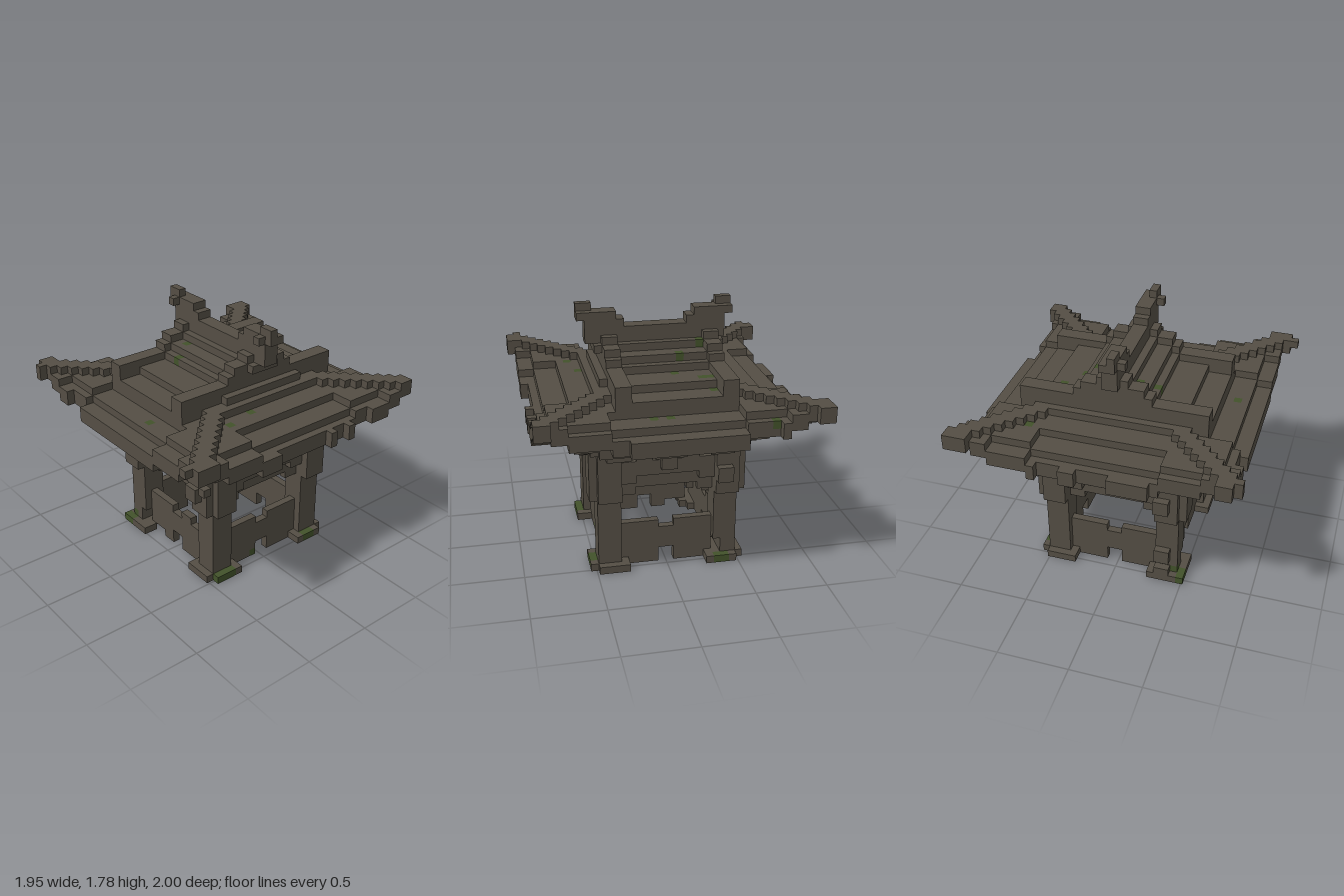
import * as THREE from 'three';

// Block grid: one cell is V wide; the building is symmetric about x = 0, z = 0 of the grid
const V = 2 / 37, Z_SHIFT = -0.5;

export function createModel() {
  const cells = new Map();
  const key = (x, y, z) => `${x},${y},${z}`;
  // Fill a box given by its cell boundaries, in any order; part null clears it
  function fill(part, x0, x1, y0, y1, z0, z1) {
    for (let x = Math.min(x0, x1); x < Math.max(x0, x1); x++)
      for (let y = y0; y < y1; y++)
        for (let z = Math.min(z0, z1); z < Math.max(z0, z1); z++)
          part ? cells.set(key(x, y, z), part) : cells.delete(key(x, y, z));
  }
  // Repeat a box on all four sides, mirrored along each: u runs along the wall, w outwards
  function around(part, u0, u1, y0, y1, w0, w1) {
    for (const s of [-1, 1]) for (const t of [-1, 1]) {
      fill(part, u0 * s, u1 * s, y0, y1, w0 * t, w1 * t);
      fill(part, w0 * t, w1 * t, y0, y1, u0 * s, u1 * s);
    }
  }
  const step = (d, table, rest) => (table.find(([limit]) => d < limit) || [0, rest])[1];
  const inAny = (v, ranges) => ranges.some(([a, b]) => v >= a && v < b);

  // Pillars and feet
  around('pillars', 6, 9, 0, 19, 6, 9);
  around('feet', 5, 9, 0, 1, 9, 10);
  around('feet', 5, 7, 0, 1, 6, 9);
  fill('pillars', -10, -9, 1, 2, 6, 8);
  fill('pillars', -10, -9, 3, 5, 6, 8);
  fill(null, -7, -6, 1, 3, -12, 12);

  // Low walls with a gap under a middle rail
  around('lowWalls', 1, 6, 0, 6, 7, 8);
  around('lowWalls', 0, 1, 2, 5, 7, 8);
  fill(null, -6, -3, 0, 1, 7, 8);
  fill(null, 3, 5, 5, 6, 7, 8);

  // Upper walls
  around('upperWalls', 0, 6, 11, 19, 7, 8);
  around('upperWalls', 4, 6, 10, 11, 7, 8);
  around('upperWalls', 0, 6, 13, 15, 8, 9);

  // Capitals and stepped brackets under the eaves
  around('brackets', 6, 9, 10, 17, 9, 10);
  around('brackets', 4, 6, 12, 13, 8, 9);
  around('brackets', 5, 8, 16, 17, 10, 11);
  around('brackets', 0, 1, 14, 17, 8, 10);
  around('brackets', 0, 2, 16, 18, 8, 11);
  around('brackets', 2, 4, 15, 17, 8, 9);
  around('brackets', 0, 10, 17, 18, 8, 11);
  around('brackets', 5, 9, 17, 18, 11, 12);
  fill('brackets', -11, -10, 12, 14, 6, 8);
  fill('brackets', 6, 8, 12, 14, 10, 11);
  fill('brackets', -8, -6, 12, 14, -11, -10);
  fill('brackets', -12, 12, 18, 19, -12, 12);
  fill('brackets', 14, 15, 18, 19, 14, 15);

  // Skirt roof: stepped slopes, lifted corners, raised hips and a ragged rim
  const gaps = {
    left: [[-7, -4], [-2, 2], [7, 15]], right: [[-10, -7], [-6, -4], [-3, 5]],
    back: [[-12, -8], [6, 15]], front: [[-11, -8]],
  };
  for (let x = -17; x < 17; x++) for (let z = -17; z < 17; z++) {
    if (x === -17 && inAny(z, gaps.left) || x === 16 && inAny(z, gaps.right)) continue;
    if (z === -17 && inAny(x, gaps.back) || z === 16 && inAny(x, gaps.front)) continue;
    const a = Math.abs(x + 0.5), b = Math.abs(z + 0.5);
    const m = Math.max(a, b), t = Math.min(a, b);
    const lift = m > 12 ? step(t, [[8, 0], [13, 1], [15, 2]], 3) : 0;
    const hip = Math.abs(a - b) < 1.5 && m > 8 ? 1 : 0;
    const top = Math.min(24, step(m, [[9, 24], [12, 23], [15, 22]], 21) + lift + hip);
    fill('skirtRoof', x, x + 1, 19 + lift, top, z, z + 1);
  }
  // Corner tips
  fill('cornerTips', -18, -16, 22, 24, -18, -15);
  fill('cornerTips', 15, 17, 22, 24, -17, -15);
  fill('cornerTips', -18, -16, 22, 24, 15, 17);
  fill('cornerTips', -17, -16, 22, 24, 17, 18);
  fill('cornerTips', 16, 18, 22, 24, 15, 18);
  fill('cornerTips', 16, 17, 23, 24, 18, 19);

  // Gabled upper roof with raised strips at both ends
  for (let z = -12; z < 12; z++) {
    const d = Math.abs(z + 0.5);
    const main = step(d, [[2, 28], [4, 27], [5, 26], [9, 25]], 24);
    const strip = step(d, [[2, 29], [4, 28], [5, 27]], 26);
    fill('upperRoof', -6, 5, 22, main, z, z + 1);
    fill('endStrips', -8, -6, 22, strip, z, z + 1);
    fill('endStrips', 5, 7, 22, strip, z, z + 1);
  }
  fill('endStrips', 7, 8, 23, 25, -6, 6);
  fill('endStrips', 7, 8, 27, 28, -2, 2);

  // Ridge and its raised ends
  fill('ridge', -9, 9, 28, 30, -1, 1);
  for (const s of [-1, 1]) {
    fill('ridge', 4 * s, 9 * s, 30, 31, -1, 1);
    fill('ridge', 5 * s, 9 * s, 31, 32, -1, 1);
    fill('ridgeOrnaments', 8 * s, 10 * s, 31, 32, -1, 1);
    fill('ridgeOrnaments', 9 * s, 10 * s, 32, 33, 0, 1);
    fill('ridgeOrnaments', 8 * s, 9 * s, 32, 33, 0, 1);
    fill('ridgeOrnaments', 8 * s, 9 * s, 31, 32, 1, 2);
  }
  fill('ridge', -5, -4, 31, 32, -1, 1);
  fill(null, -5, -4, 31, 32, -1, 1);

  // Moss on the roof tops
  const mossSpots = [[-12, -16], [0, -13], [2, -13], [-12, -10], [-6, -10], [-6, -8], [-5, -8],
    [-2, -6], [-3, -4], [-6, -2], [-5, 2], [-4, 4], [9, 3], [10, 7], [2, 13]];
  for (const [x, z] of mossSpots) {
    let y = 34;
    while (y > 0 && !cells.has(key(x, y, z))) y--;
    if (y > 0) cells.set(key(x, y, z), 'moss');
  }
  // Moss on the feet
  fill('moss', -10, -8, 0, 1, 9, 10);
  fill('moss', -9, -8, 1, 2, 8, 9);
  fill('moss', 9, 10, 0, 1, 6, 9);
  fill('moss', 9, 10, 0, 1, -8, -6);
  fill('moss', -8, -6, 0, 1, -10, -9);
  fill('moss', 7, 8, 0, 1, 1, 2);

  // Turn exposed cell sides into quads, one mesh per part
  const sides = [];
  for (let axis = 0; axis < 3; axis++) for (const s of [-1, 1]) sides.push([axis, s]);
  const parts = {};
  for (const [k, part] of cells) {
    const c = k.split(',').map(Number);
    for (const [axis, s] of sides) {
      const n = [...c];
      n[axis] += s;
      if (cells.has(key(...n))) continue;
      const u = (axis + 1) % 3, v = (axis + 2) % 3;
      const corners = [[0, 0], [1, 0], [1, 1], [0, 1]].map(([i, j]) => {
        const p = [...c];
        if (s > 0) p[axis] += 1;
        p[u] += i;
        p[v] += j;
        return [p[0] * V, p[1] * V, (p[2] + Z_SHIFT) * V];
      });
      if (s < 0) corners.reverse();
      const out = (parts[part] ||= []);
      for (const i of [0, 1, 2, 0, 2, 3]) out.push(...corners[i]);
    }
  }

  const wood = new THREE.MeshStandardMaterial({ color: 0x544e44 });
  wood.name = 'weathered grey brown';
  const green = new THREE.MeshStandardMaterial({ color: 0x42522a });
  green.name = 'moss green';
  const group = new THREE.Group();
  group.name = 'pavilion';
  for (const [name, positions] of Object.entries(parts)) {
    const geometry = new THREE.BufferGeometry();
    geometry.setAttribute('position', new THREE.Float32BufferAttribute(positions, 3));
    geometry.computeVertexNormals();
    const mesh = new THREE.Mesh(geometry, name === 'moss' ? green : wood);
    mesh.name = name;
    group.add(mesh);
  }
  return group;
}
